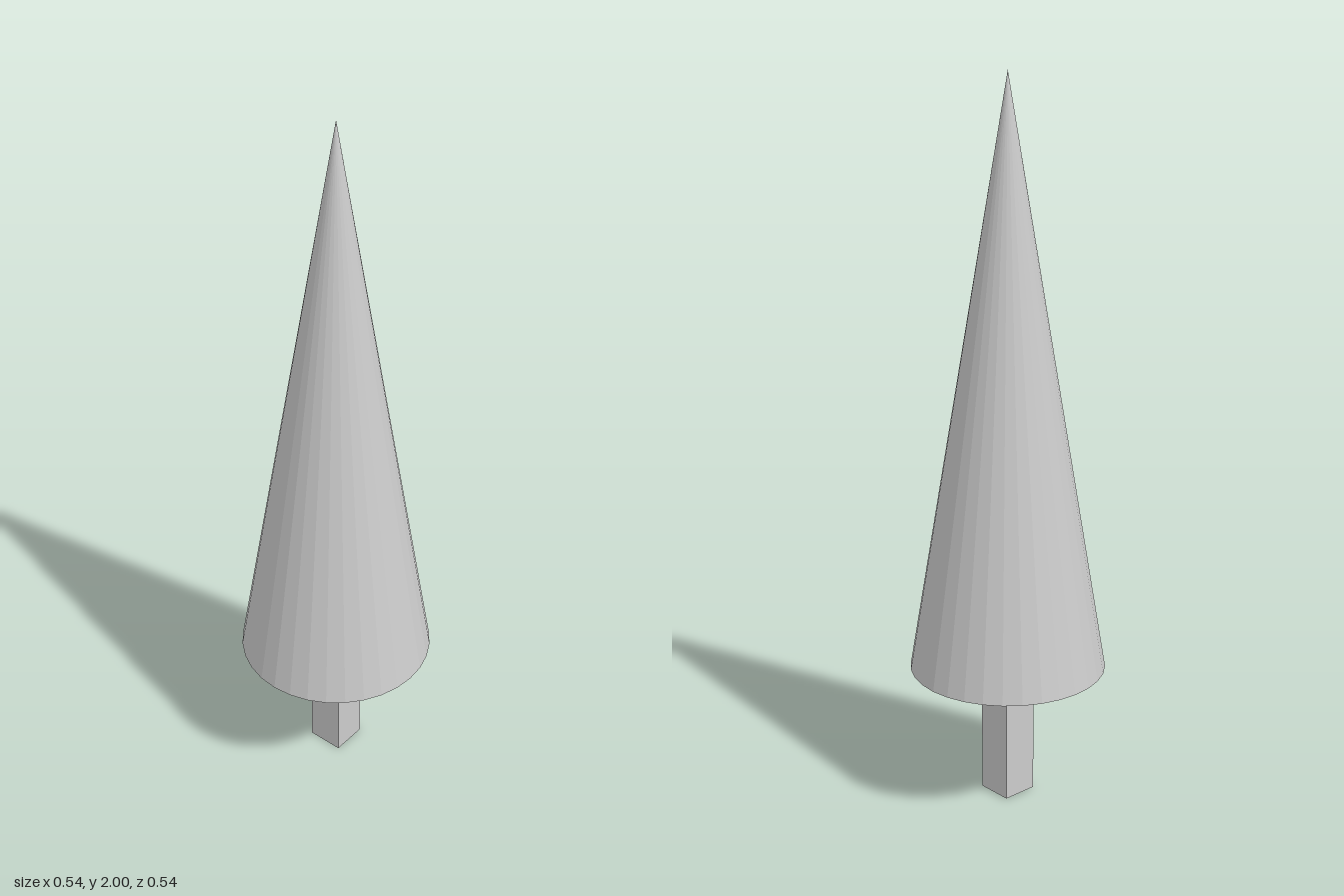
import * as THREE from 'three';

const HEIGHT = 2;
const CROWN_BASE = 0.38;
const CROWN_RADIUS = 0.27;
const TRUNK_WIDTH = 0.102;

export function createModel() {
  const tree = new THREE.Group();
  tree.name = 'tree';
  const material = new THREE.MeshStandardMaterial({ color: 0xcccccc, flatShading: true });

  const add = (name, geometry, y) => {
    const mesh = new THREE.Mesh(geometry, material);
    mesh.name = name;
    mesh.position.y = y;
    tree.add(mesh);
  };

  // Square trunk, reaching up to the underside of the crown
  add('trunk', new THREE.BoxGeometry(TRUNK_WIDTH, CROWN_BASE, TRUNK_WIDTH), CROWN_BASE / 2);

  // Tall faceted cone with a closed base
  const crownHeight = HEIGHT - CROWN_BASE;
  add('crown', new THREE.ConeGeometry(CROWN_RADIUS, crownHeight, 32), CROWN_BASE + crownHeight / 2);

  return tree;
}
